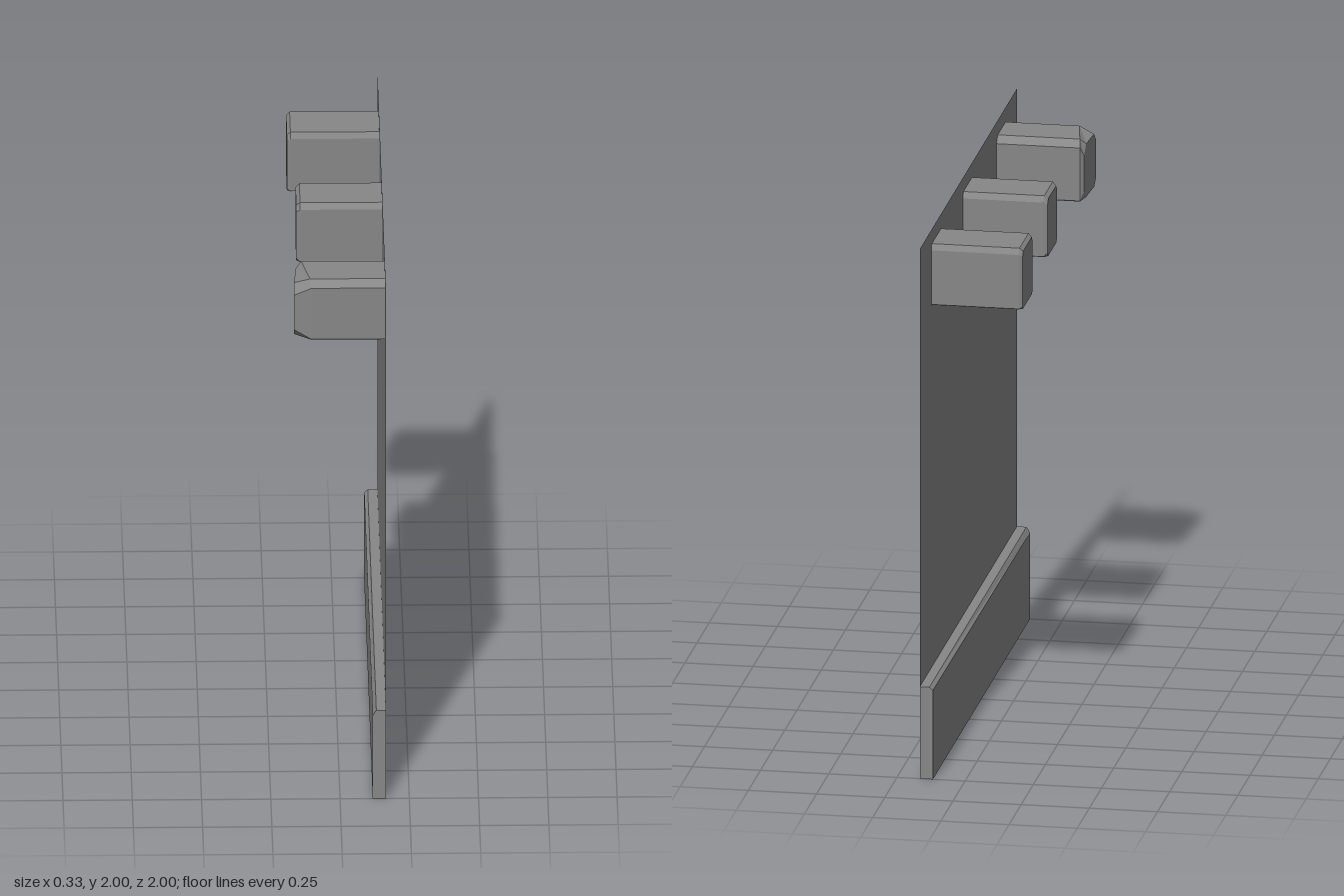
import * as THREE from 'three';

const WALL_X = 0.166;
const BASE_TOP = 0.347;

// Dark grey plaster
const darkGrey = () => new THREE.MeshStandardMaterial({
  color: 0x878787, flatShading: true, side: THREE.DoubleSide,
});

// Skins rings of [x, y, z] points; each entry of caps is filled as a fan.
function loft(rings, closed, caps) {
  const pos = [];
  const tri = (a, b, c) => pos.push(...a, ...b, ...c);
  for (let r = 0; r + 1 < rings.length; r++) {
    const a = rings[r], b = rings[r + 1], n = a.length;
    for (let i = 0; i < (closed ? n : n - 1); i++) {
      const j = (i + 1) % n;
      tri(a[i], a[j], b[j]);
      tri(a[i], b[j], b[i]);
    }
  }
  for (const ring of caps) {
    for (let i = 1; i + 1 < ring.length; i++) tri(ring[0], ring[i], ring[i + 1]);
  }
  const g = new THREE.BufferGeometry();
  g.setAttribute('position', new THREE.Float32BufferAttribute(pos, 3));
  g.computeVertexNormals();
  return g;
}

// Rectangle with chamfered corners as [z, y] points, running up the +z side.
function section(z0, z1, y0, y1, [tz, ty, b]) {
  return [
    [z0 + b, y0], [z1 - b, y0], [z1, y0 + b], [z1, y1 - ty],
    [z1 - tz, y1], [z0 + tz, y1], [z0, y1 - ty], [z0, y0 + b],
  ];
}

// Hollow beams: body and face hold corner chamfers [top width, top height, bottom];
// end and shoulder give x at the [low z, high z] sides; inset is [side, top, bottom].
const BEAMS = [
  { name: 'backBeam', z: [-0.763, -0.551], body: [0.012, 0.022, 0.002], face: [0.012, 0.016, 0.008],
    end: [-0.168, -0.168], shoulder: [-0.155, -0.155], inset: [0.006, 0.012, 0] },
  { name: 'middleBeam', z: [-0.115, 0.09], body: [0.014, 0.022, 0.002], face: [0.02, 0.02, 0.015],
    end: [-0.144, -0.144], shoulder: [-0.13, -0.13], inset: [0.004, 0.012, 0] },
  { name: 'frontBeam', z: [0.578, 0.795], body: [0.028, 0.025, 0.003], face: [0.035, 0.035, 0.03],
    end: [-0.153, -0.164], shoulder: [-0.14, -0.1], inset: [0.012, 0.022, 0.006] },
];
const Y0 = 1.717, Y1 = 1.945;

export function createModel() {
  const group = new THREE.Group();
  const add = (name, geometry) => {
    const mesh = new THREE.Mesh(geometry, darkGrey());
    mesh.name = name;
    group.add(mesh);
  };

  // Flat wall panel, opened where the beams pass through
  const wall = new THREE.Shape([[-1, BASE_TOP], [1, BASE_TOP], [1, 2], [-1, 2]]
    .map(([u, y]) => new THREE.Vector2(u, y)));

  for (const { name, z: [z0, z1], body, face, end, shoulder, inset: [side, top, bottom] } of BEAMS) {
    const outer = section(z0, z1, Y0, Y1, body);
    const inner = section(z0 + side, z1 - side, Y0 + bottom, Y1 - top, face);
    const slant = (z, [lo, hi]) => lo + (hi - lo) * (z - z0) / (z1 - z0);
    const mouth = outer.map(([z, y]) => [WALL_X, y, z]);
    const neck = outer.map(([z, y]) => [slant(z, shoulder), y, z]);
    const tip = inner.map(([z, y]) => [slant(z, end), y, z]);
    add(name, loft([mouth, neck, tip], true, [tip]));
    wall.holes.push(new THREE.Path(outer.map(([z, y]) => new THREE.Vector2(-z, y))));
  }

  const panel = new THREE.ShapeGeometry(wall);
  panel.rotateY(Math.PI / 2);
  panel.translate(WALL_X, 0, 0);
  add('wallPanel', panel);

  // Skirting board: open-backed profile with a chamfered top edge and end caps
  const skirting = [1, -1].map((z) => {
    const chamferY = z > 0 ? 0.327 : 0.336;
    return [[WALL_X, 0], [0.118, 0], [0.118, chamferY], [0.131, BASE_TOP], [WALL_X, BASE_TOP]]
      .map(([x, y]) => [x, y, z]);
  });
  add('skirtingBoard', loft(skirting, false, [skirting[0].slice().reverse(), skirting[1]]));

  return group;
}
